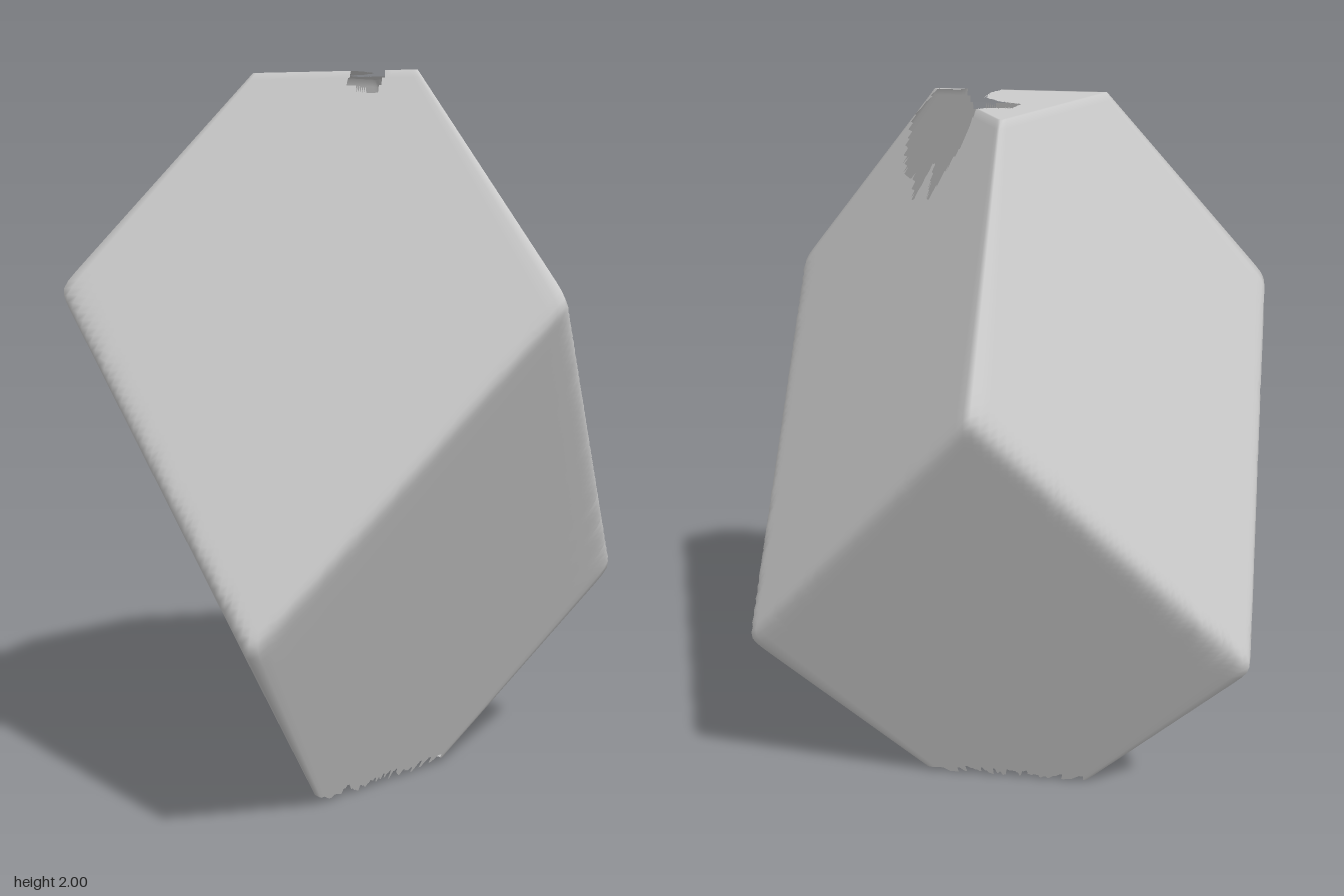
import * as THREE from 'three';

const SEGMENTS = 240, WALL_ROWS = 100, CAP_ROWS = 20;
const SLOPE = 0.467, APEX = 2.29, SHARPNESS = 50;

// ragged hole in plan (x, z), broken through the top cap and one edge
const HOLE = [
  [-0.01, -0.06], [0.02, -0.11], [0.08, -0.1], [0.15, -0.12], [0.24, -0.07], [0.21, -0.01],
  [0.27, 0.01], [0.26, 0.07], [0.28, 0.12], [0.27, 0.2], [0.24, 0.24], [0.2, 0.18],
  [0.12, 0.16], [0.08, 0.19], [0.0, 0.16], [0.05, 0.1], [0.07, 0.04], [0.04, -0.02],
];

function inHole(x, z) {
  let inside = false;
  HOLE.forEach(([ax, az], i) => {
    const [bx, bz] = HOLE[(i + HOLE.length - 1) % HOLE.length];
    if ((az > z) !== (bz > z) && x < ((bx - ax) * (z - az)) / (bz - az) + ax) inside = !inside;
  });
  return inside;
}

// radius of the six-faced rhombohedron at a height, with softly rounded edges
function radius(angle, y) {
  let sum = 0;
  for (let k = 0; k < 6; k++) {
    const distance = SLOPE * (k % 2 ? APEX - y : y + APEX - 2);
    const c = Math.cos(angle - THREE.MathUtils.degToRad(45 + 60 * k));
    if (c > 0) sum += Math.pow(c / distance, SHARPNESS);
  }
  return Math.pow(sum, -1 / SHARPNESS);
}

// small seeded noise for the torn bottom rim
function jag(i) {
  const n = Math.sin((i + 1) * 12.9898) * 43758.5453;
  return n - Math.floor(n);
}

function shellGeometry() {
  const positions = [], indices = [];
  const rows = WALL_ROWS + CAP_ROWS;
  for (let row = 0; row <= rows; row++) {
    for (let i = 0; i < SEGMENTS; i++) {
      const angle = (i / SEGMENTS) * Math.PI * 2;
      const bottom = 0.035 * jag(i >> 1);
      const y = THREE.MathUtils.lerp(bottom, 2, Math.min(1, row / WALL_ROWS));
      const shrink = row > WALL_ROWS ? (rows - row) / CAP_ROWS : 1;
      const r = radius(angle, y) * shrink;
      positions.push(r * Math.cos(angle), y, r * Math.sin(angle));
    }
  }
  const addTriangle = (...corners) => {
    const mean = (axis) => corners.reduce((s, c) => s + positions[c * 3 + axis], 0) / 3;
    if (mean(1) > 1.5 && inHole(mean(0), mean(2))) return;
    indices.push(...corners);
  };
  for (let row = 0; row < rows; row++) {
    for (let i = 0; i < SEGMENTS; i++) {
      const next = (i + 1) % SEGMENTS;
      const a = row * SEGMENTS + i, c = row * SEGMENTS + next;
      const b = a + SEGMENTS, d = c + SEGMENTS;
      addTriangle(a, b, c);
      if (row < rows - 1) addTriangle(b, d, c);
    }
  }
  const geometry = new THREE.BufferGeometry();
  geometry.setAttribute('position', new THREE.Float32BufferAttribute(positions, 3));
  geometry.setIndex(indices);
  geometry.computeVertexNormals();
  return geometry;
}

export function createModel() {
  const group = new THREE.Group();
  group.name = 'truncatedRhombohedron';
  // thin hollow stone shell, open underneath
  const shell = new THREE.Mesh(
    shellGeometry(),
    new THREE.MeshStandardMaterial({ color: 0xcccccc, side: THREE.DoubleSide })
  );
  shell.name = 'stoneShell';
  group.add(shell);
  return group;
}
